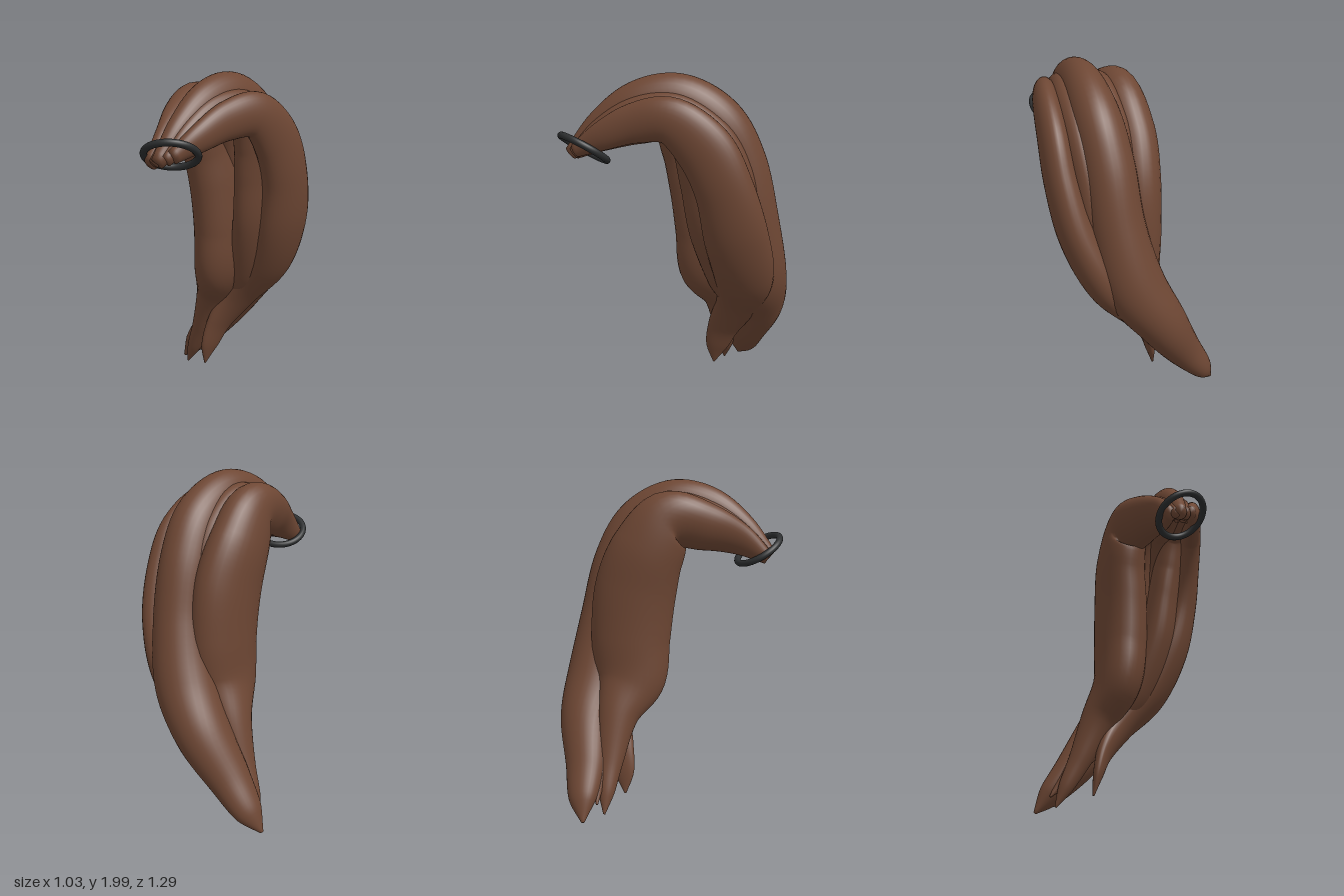
import * as THREE from 'three';

// Strand stations: [x, y, z, half width sideways, half thickness in the bend]
const rightLock = [
  [.26, 1.54, .58, .035, .04], [.22, 1.645, .42, .06, .1], [.12, 1.725, .23, .1, .15], [.03, 1.76, .03, .13, .18],
  [-.01, 1.58, -.09, .15, .225], [-.01, 1.35, -.17, .16, .25], [-.01, 1.05, -.205, .16, .245], [-.03, .8, -.2, .145, .22],
  [-.14, .58, -.24, .11, .13], [-.25, .32, -.24, .07, .08], [-.33, .15, -.23, .045, .05], [-.385, .03, -.22, .006, .006],
];
const middleLock = [
  [.32, 1.55, .58, .035, .04], [.3, 1.71, .39, .07, .1], [.27, 1.81, .19, .1, .15], [.23, 1.84, -.02, .12, .16],
  [.19, 1.72, -.22, .14, .17], [.15, 1.5, -.34, .15, .17], [.11, 1.15, -.42, .16, .17], [.02, .8, -.45, .18, .19],
  [-.14, .55, -.45, .15, .17], [-.3, .3, -.38, .11, .13], [-.43, .13, -.34, .07, .09], [-.51, .015, -.3, .01, .01],
];
const leftLock = [
  [.38, 1.58, .53, .035, .04], [.41, 1.67, .37, .05, .08], [.42, 1.75, .18, .065, .11], [.435, 1.77, -.02, .075, .13],
  [.42, 1.62, -.2, .09, .16], [.395, 1.4, -.305, .1, .165], [.32, 1.1, -.37, .115, .185], [.18, .82, -.4, .12, .175],
  [0, .58, -.34, .085, .13], [-.1, .38, -.25, .05, .1], [-.14, .22, -.2, .03, .07], [-.165, .09, -.18, .006, .006],
];
const leftFiller = [
  [.35, 1.56, .55, .03, .035], [.35, 1.69, .38, .05, .075], [.34, 1.78, .185, .065, .105], [.33, 1.79, -.02, .08, .115],
  [.3, 1.63, -.17, .1, .18], [.27, 1.42, -.245, .105, .21], [.22, 1.12, -.29, .115, .21], [.1, .8, -.33, .11, .165],
  [-.06, .56, -.35, .085, .1], [-.27, .22, -.19, .006, .006],
];
// Thinner strand halfway between two locks, run out to its own tip
const rightFiller = [
  ...rightLock.slice(0, 10).map((s, i) => s.map((v, j) => (v + middleLock[i][j]) / 2 * (j > 2 ? .75 : 1))),
  [-.42, .1, -.25, .006, .006],
];

// Smooth tapered tube with an elliptical section, rolled about its path
function strandGeometry(stations, roll, steps = 80, sides = 32) {
  const path = new THREE.CatmullRomCurve3(stations.map(s => new THREE.Vector3(s[0], s[1], s[2])));
  const size = new THREE.CatmullRomCurve3(stations.map((s, i) => new THREE.Vector3(s[3], s[4], i * .1)));
  const pos = [], index = [], row = sides + 1;
  for (let i = -1; i <= steps + 1; i++) {
    const t = THREE.MathUtils.clamp(i / steps, 0, 1);
    const c = path.getPoint(t), w = size.getPoint(t), tan = path.getTangent(t);
    const side = new THREE.Vector3(1, 0, 0).addScaledVector(tan, -tan.x).normalize().applyAxisAngle(tan, -roll);
    const norm = new THREE.Vector3().crossVectors(tan, side);
    const open = i < 0 || i > steps ? 0 : 1; // closed ends
    for (let j = 0; j <= sides; j++) {
      const a = (j % sides) / sides * Math.PI * 2;
      const p = c.clone()
        .addScaledVector(side, Math.cos(a) * Math.max(w.x, .004) * open)
        .addScaledVector(norm, Math.sin(a) * Math.max(w.y, .004) * open);
      pos.push(p.x, p.y, p.z);
    }
  }
  for (let i = 0; i < steps + 2; i++) for (let j = 0; j < sides; j++) {
    const a = i * row + j, b = a + row;
    index.push(a, a + 1, b, a + 1, b + 1, b);
  }
  const g = new THREE.BufferGeometry();
  g.setAttribute('position', new THREE.Float32BufferAttribute(pos, 3));
  g.setIndex(index);
  g.computeVertexNormals();
  // Join the normals along the seam
  const n = g.attributes.normal;
  for (let i = 0; i < steps + 3; i++) {
    const a = i * row, b = a + sides;
    const v = new THREE.Vector3().fromBufferAttribute(n, a)
      .add(new THREE.Vector3().fromBufferAttribute(n, b)).normalize();
    n.setXYZ(a, v.x, v.y, v.z);
    n.setXYZ(b, v.x, v.y, v.z);
  }
  return g;
}

export function createModel() {
  const group = new THREE.Group();
  group.name = 'ponytail';
  const hair = new THREE.MeshStandardMaterial({ name: 'brown hair', color: 0x6e4734 });
  const band = new THREE.MeshStandardMaterial({ name: 'dark band', color: 0x2c2e2f });

  // Three main locks and the thinner strands that fill the gaps
  const addStrand = (name, stations, roll = 0) => {
    const mesh = new THREE.Mesh(strandGeometry(stations, roll), hair);
    mesh.name = name;
    group.add(mesh);
  };
  addStrand('rightLock', rightLock, .25);
  addStrand('middleLock', middleLock);
  addStrand('leftLock', leftLock);
  addStrand('rightFiller', rightFiller);
  addStrand('leftFiller', leftFiller);

  // Hair tie
  const tie = new THREE.Mesh(new THREE.TorusGeometry(.145, .02, 16, 64), band);
  tie.name = 'hairTie';
  tie.position.set(.33, 1.585, .498);
  tie.quaternion.setFromUnitVectors(new THREE.Vector3(0, 0, 1), new THREE.Vector3(-.39, .83, -.4).normalize());
  group.add(tie);
  return group;
}
